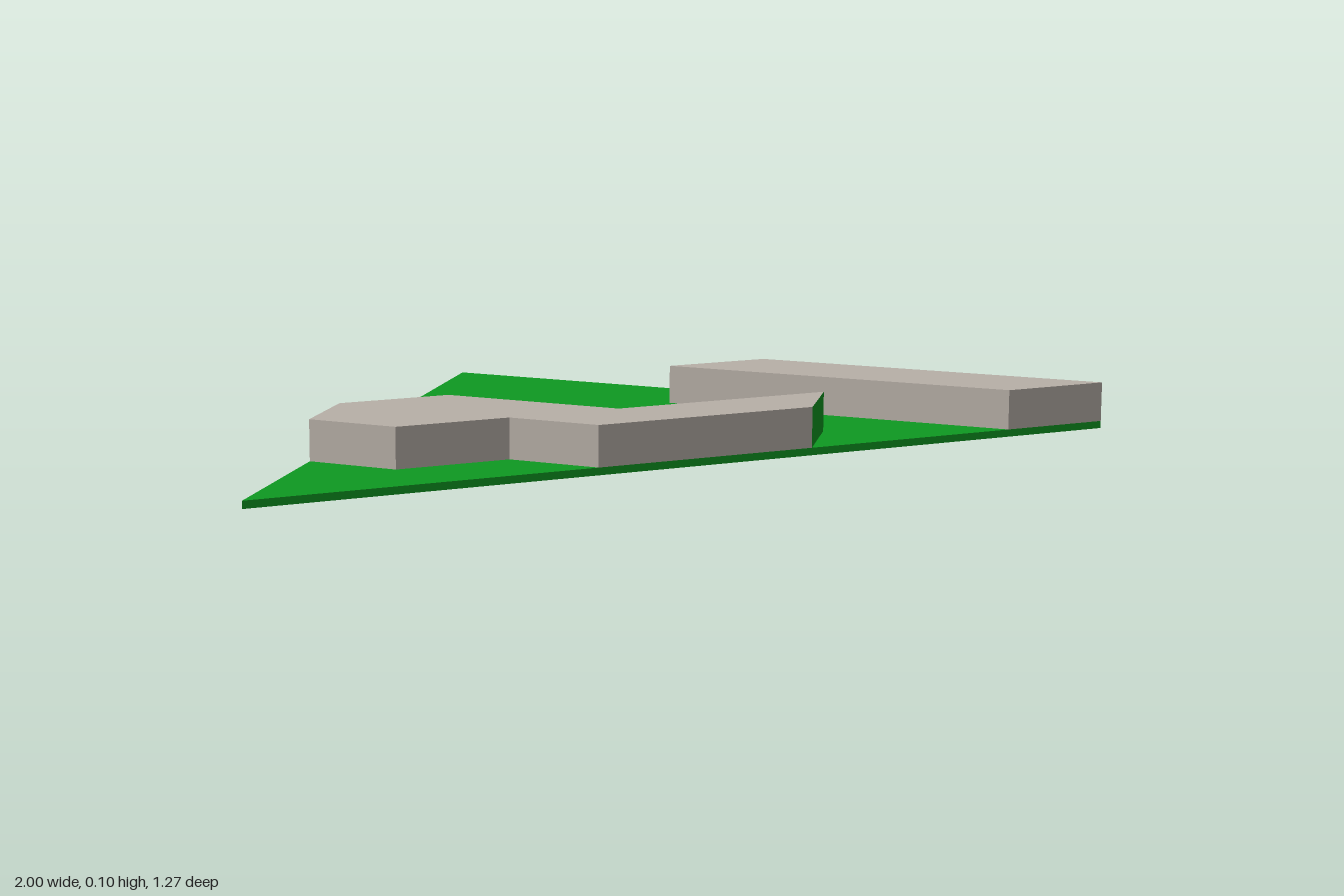
import * as THREE from 'three';

const BASE = 0.016, TOP = 0.103, DEPTH = 0.635;
const green = new THREE.MeshStandardMaterial({ color: 0x0e9a22 });
const grey = new THREE.MeshStandardMaterial({ color: 0xb8b0a8 });

function part(name, geometry, material) {
  const mesh = new THREE.Mesh(geometry, material);
  mesh.name = name;
  return mesh;
}

// outline given as [x, z], counter-clockwise seen from above
const toShape = (pts) => new THREE.Shape(pts.map(([x, z]) => new THREE.Vector2(x, -z)));

// raised block standing on the slab; the listed edges get green side faces
function block(name, pts, greenEdges = []) {
  const group = new THREE.Group();
  group.name = name;
  const cap = new THREE.ShapeGeometry(toShape(pts)).rotateX(-Math.PI / 2).translate(0, TOP, 0);
  group.add(part(name + 'Top', cap, grey));
  pts.forEach(([x, z], i) => {
    const [x2, z2] = pts[(i + 1) % pts.length];
    const side = new THREE.PlaneGeometry(Math.hypot(x2 - x, z2 - z), TOP - BASE)
      .rotateY(Math.atan2(z - z2, x2 - x))
      .translate((x + x2) / 2, (TOP + BASE) / 2, (z + z2) / 2);
    const isGreen = greenEdges.includes(i);
    group.add(part(name + (isGreen ? 'End' : 'Side'), side, isGreen ? green : grey));
  });
  return group;
}

export function createModel() {
  const model = new THREE.Group();
  model.name = 'triangularTile';

  // thin triangular slab
  const slab = new THREE.ExtrudeGeometry(toShape([[-1, DEPTH], [1, DEPTH], [0, -DEPTH]]),
    { depth: BASE, bevelEnabled: false }).rotateX(-Math.PI / 2);
  model.add(part('baseSlab', slab, green));

  // stepped wall with green ends
  const u = DEPTH / 4;
  model.add(block('steppedWall', [
    [-0.75, 2 * u], [-0.625, 3 * u], [-0.375, 3 * u], [-0.25, DEPTH], [0.25, DEPTH],
    [0.375, 3 * u], [-0.125, 3 * u], [-0.375, u], [-0.625, u],
  ], [4, 8]));

  // straight wall along the left edge
  model.add(block('edgeWall', [[0.75, DEPTH], [1, DEPTH], [0.5, 0], [0.25, 0]]));

  return model;
}
